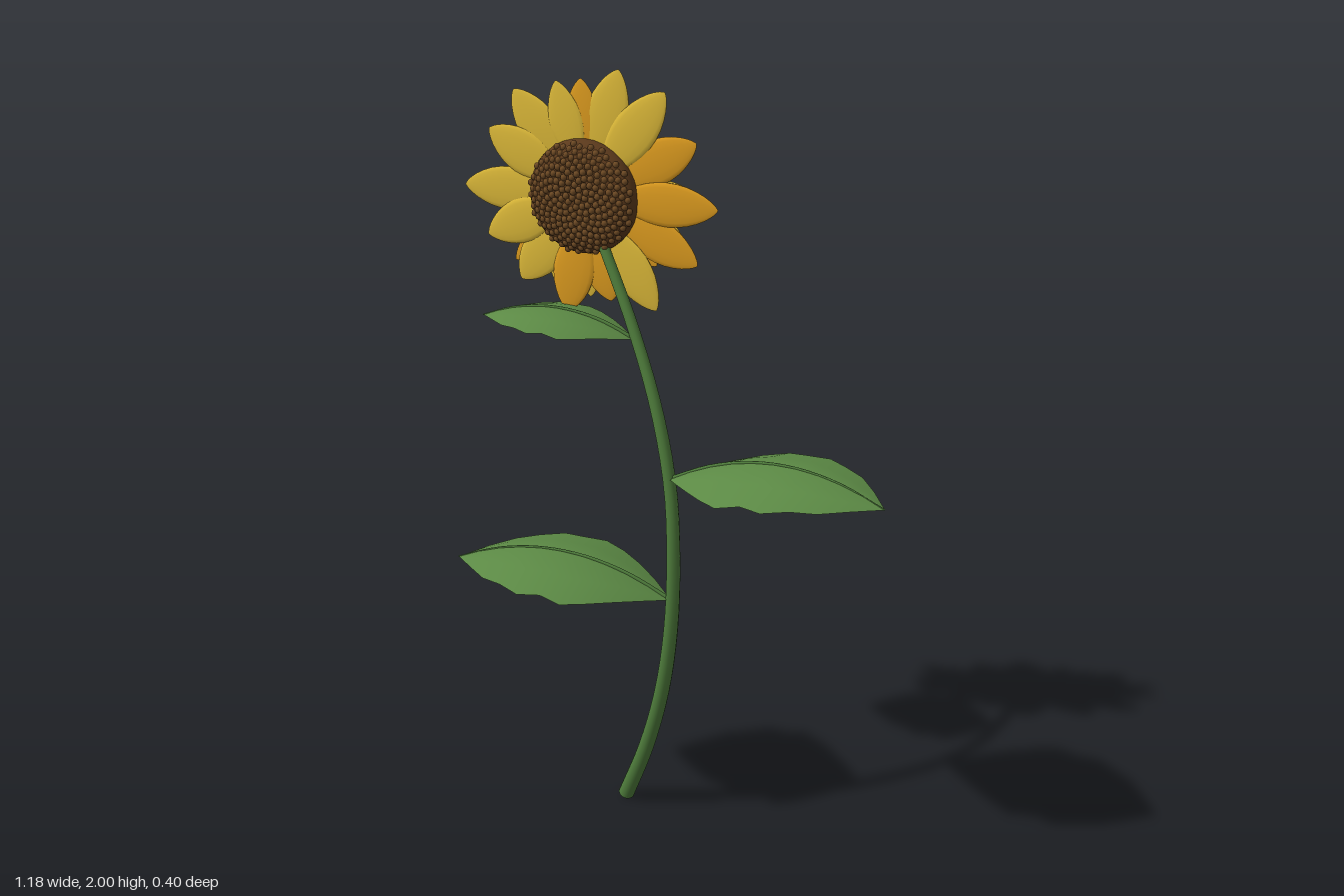
import * as THREE from 'three';
import { mergeGeometries } from 'three/addons/utils/BufferGeometryUtils.js';

const material = (name, color, side = THREE.FrontSide) => {
  const m = new THREE.MeshStandardMaterial({ color, side });
  m.name = name;
  return m;
};

const V = (x, y, z) => new THREE.Vector3(x, y, z);

function addMesh(parent, name, geometry, mat) {
  const mesh = new THREE.Mesh(geometry, mat);
  mesh.name = name;
  parent.add(mesh);
  return mesh;
}

// Tube whose radius shrinks evenly from r0 to r1
function taperedTube(curve, segments, r0, r1, sides) {
  const geo = new THREE.TubeGeometry(curve, segments, 1, sides, false);
  const pos = geo.attributes.position;
  const p = V(0, 0, 0);
  for (let i = 0; i < pos.count; i++) {
    const t = Math.floor(i / (sides + 1)) / segments;
    const c = curve.getPointAt(t);
    p.fromBufferAttribute(pos, i).sub(c).multiplyScalar(r0 + (r1 - r0) * t).add(c);
    pos.setXYZ(i, p.x, p.y, p.z);
  }
  return geo;
}

// Half widths of the scalloped leaf outline, from base to tip
const LEAF_OUTLINE = [0.02, 0.33, 0.6, 0.83, 1, 0.92, 0.97, 0.79, 0.64, 0.34, 0];
const LEAF_COLUMNS = [-1, -0.5, 0, 0.5, 1];

// Arched blade that folds down on both sides of its midrib
function makeLeaf(base, tip, halfWidth, arch, leafMat, ribMat) {
  const leaf = new THREE.Group();
  const across = V(base.z - tip.z, 0, tip.x - base.x).normalize();
  const spine = (t) => base.clone().lerp(tip, t).add(V(0, 4 * arch * t * (1 - t), 0));
  const verts = [], index = [];
  const rows = LEAF_OUTLINE.length, cols = LEAF_COLUMNS.length;
  LEAF_OUTLINE.forEach((w, i) => {
    const c = spine(i / (rows - 1));
    LEAF_COLUMNS.forEach((s) => {
      const p = c.clone().addScaledVector(across, s * w * halfWidth);
      p.y -= 0.23 * halfWidth * w * Math.abs(s) ** 1.2;
      verts.push(p.x, p.y, p.z);
    });
  });
  for (let i = 0; i < rows - 1; i++) {
    for (let j = 0; j < cols - 1; j++) {
      const a = i * cols + j, b = a + cols;
      index.push(a, a + 1, b, b, a + 1, b + 1);
    }
  }
  const geo = new THREE.BufferGeometry();
  geo.setAttribute('position', new THREE.Float32BufferAttribute(verts, 3));
  geo.setIndex(index);
  geo.computeVertexNormals();
  addMesh(leaf, 'leafBlade', geo, leafMat);

  const ribPath = new THREE.CatmullRomCurve3([0, 0.2, 0.4, 0.6, 0.8, 1].map(spine));
  addMesh(leaf, 'leafMidrib', taperedTube(ribPath, 20, 0.006, 0.002, 6), ribMat);
  return leaf;
}

// Thin, pointed, slightly rounded petal growing along +y
function petalGeometry(inner, outer, halfWidth) {
  const shape = [[0, 0], [0.5, 0.12], [0.85, 0.3], [1, 0.5], [0.88, 0.7], [0.55, 0.87], [0.2, 0.97], [0, 1]];
  const curve = new THREE.SplineCurve(shape.map(([r, t]) =>
    new THREE.Vector2(r * halfWidth, inner + (outer - inner) * t)));
  const profile = curve.getPoints(14).map((p) => new THREE.Vector2(Math.max(p.x, 0), p.y));
  return new THREE.LatheGeometry(profile, 14).scale(1, 1, 0.13);
}

export function createModel() {
  const model = new THREE.Group();
  model.name = 'flower';
  const stemMat = material('stem green', 0x4f7d3c);
  const leafMat = material('leaf green', 0x5c8a45, THREE.DoubleSide);
  const yellow = material('petal yellow', 0xe0bc3a);
  const orange = material('petal orange', 0xe09e20);
  const discMat = material('disc brown', 0x5c3a1c);
  const seedMat = material('seed brown', 0x6e4a24);

  // Curved stem with a closed foot
  const stemPath = new THREE.CatmullRomCurve3([
    V(-0.163, 0.009, -0.14), V(-0.085, 0.2, -0.1), V(-0.025, 0.4, -0.066), V(0.01, 0.6, -0.042),
    V(0.021, 0.8, -0.032), V(0.01, 1, -0.036), V(-0.035, 1.2, -0.052), V(-0.115, 1.4, -0.085),
    V(-0.215, 1.6, -0.122),
  ]);
  const stem = new THREE.Group();
  stem.name = 'stem';
  model.add(stem);
  addMesh(stem, 'stemTube', taperedTube(stemPath, 32, 0.022, 0.013, 12), stemMat);
  const foot = addMesh(stem, 'stemFoot', new THREE.CircleGeometry(0.022, 12), stemMat);
  foot.position.copy(stemPath.getPointAt(0));
  foot.lookAt(foot.position.clone().sub(stemPath.getTangentAt(0)));

  // Three leaves
  [
    ['lowerLeaf', V(0.01, 0.69, -0.035), V(-0.56, 0.735, 0.035), 0.196, 0.077],
    ['middleLeaf', V(0.01, 1.025, -0.035), V(0.585, 1.07, 0.035), 0.196, 0.077],
    ['upperLeaf', V(-0.105, 1.36, -0.08), V(-0.495, 1.388, -0.03), 0.132, 0.05],
  ].forEach(([name, base, tip, width, arch]) => {
    const leaf = makeLeaf(base, tip, width, arch, leafMat, stemMat);
    leaf.name = name;
    model.add(leaf);
  });

  // Flower head
  const head = new THREE.Group();
  head.name = 'flowerHead';
  head.position.set(-0.26, 1.69, -0.137);
  model.add(head);

  // Outer petals: angle in degrees, tip radius, 1 for orange
  [
    [74, 0.326, 0], [52, 0.343, 0], [28, 0.329, 1], [0, 0.349, 1], [-26, 0.329, 1],
    [-55, 0.33, 0], [-76, 0.27, 1], [-100, 0.306, 1], [-128, 0.297, 0], [-155, 0.298, 0],
    [181, 0.333, 0], [151, 0.296, 0], [128, 0.31, 0], [105, 0.285, 0], [92, 0.285, 1],
  ].forEach(([deg, tip, isOrange], i) => {
    const petal = addMesh(head, 'outerPetal', petalGeometry(0.08, tip, i > 12 ? 0.045 : 0.056),
      isOrange ? orange : yellow);
    petal.rotation.z = THREE.MathUtils.degToRad(deg - 90);
    petal.position.z = -0.006 + (i % 2) * 0.005;
  });

  // Smaller petals behind, filling the gaps
  const backCount = 15;
  for (let i = 0; i < backCount; i++) {
    const petal = addMesh(head, 'backPetal', petalGeometry(0.09, 0.245 + 0.015 * (i % 3), 0.034),
      i % 4 === 1 ? orange : yellow);
    petal.rotation.z = ((i + 0.55) / backCount) * Math.PI * 2;
    petal.position.z = -0.013;
  }

  // Domed disc, flatter at the front
  const discProfile = new THREE.SplineCurve([
    [0, -0.062], [0.05, -0.057], [0.1, -0.041], [0.134, -0.016], [0.142, 0.006],
    [0.134, 0.027], [0.105, 0.043], [0.05, 0.052], [0, 0.054],
  ].map(([r, z]) => new THREE.Vector2(r, z))).getPoints(24)
    .map((p) => new THREE.Vector2(Math.max(p.x, 0), p.y));
  addMesh(head, 'disc', new THREE.LatheGeometry(discProfile, 32).rotateX(Math.PI / 2), discMat);

  // Seeds in a sunflower spiral over the front
  const seeds = [];
  const seedCount = 230;
  for (let i = 0; i < seedCount; i++) {
    const r = 0.137 * Math.sqrt((i + 0.5) / seedCount);
    const a = i * Math.PI * (3 - Math.sqrt(5));
    const z = 0.055 - 0.032 * (r / 0.137) ** 3;
    seeds.push(new THREE.SphereGeometry(0.0085, 8, 6)
      .translate(r * Math.cos(a), r * Math.sin(a), z));
  }
  addMesh(head, 'seeds', mergeGeometries(seeds), seedMat);

  return model;
}
